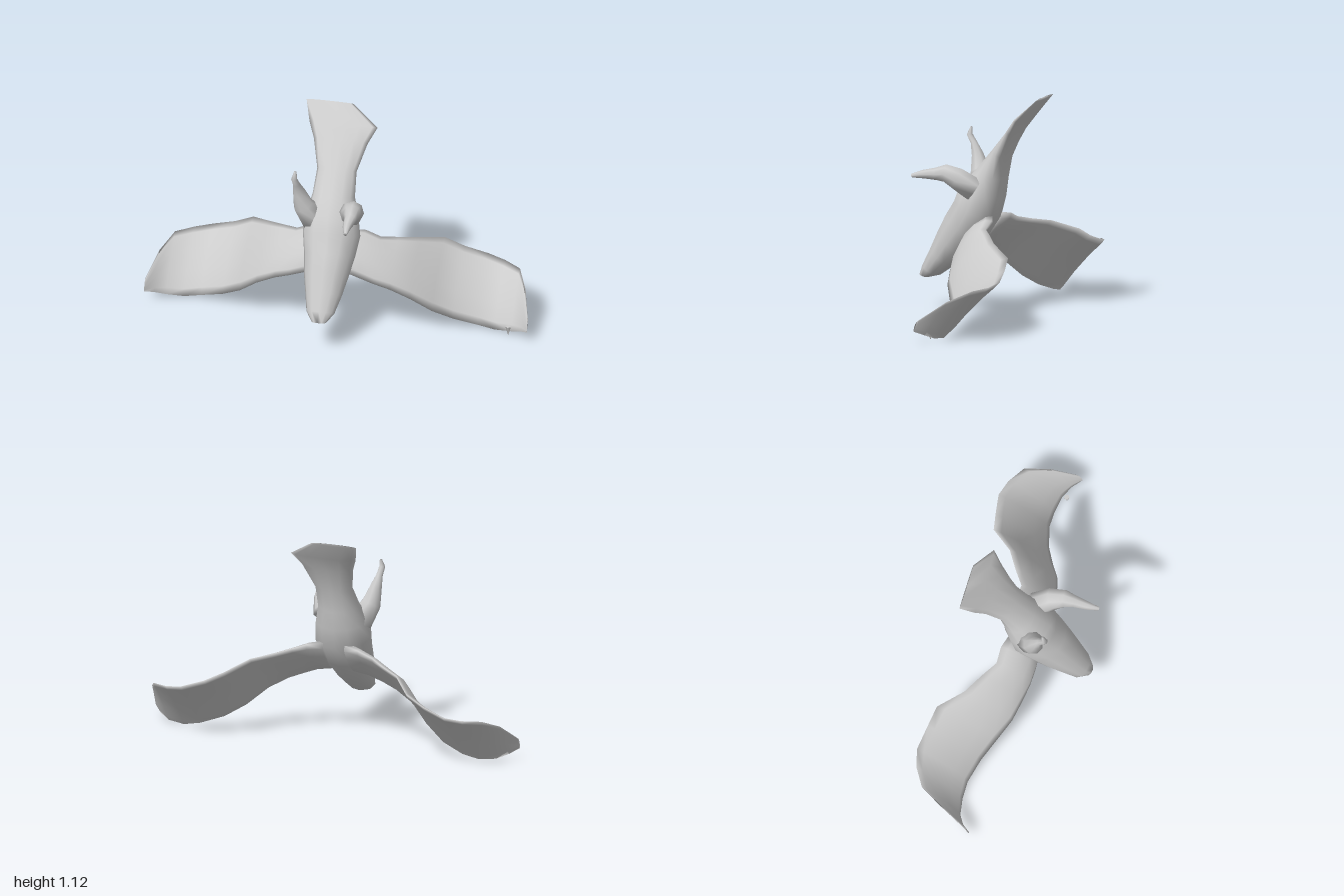
import * as THREE from 'three';

const material = new THREE.MeshStandardMaterial({ color: 0xcccccc, side: THREE.DoubleSide });
const V = (x, y, z) => new THREE.Vector3(x, y, z);

// Skin a list of equal-length rings and close both ends, facing outwards.
function loft(name, rings) {
  const n = rings[0].length, pts = rings.flat(), idx = [];
  for (let i = 0; i < rings.length - 1; i++) {
    for (let j = 0; j < n; j++) {
      const a = i * n + j, b = i * n + (j + 1) % n;
      idx.push(a, b, a + n, b, b + n, a + n);
    }
  }
  const last = (rings.length - 1) * n;
  for (let j = 1; j < n - 1; j++) {
    idx.push(0, j + 1, j, last, last + j, last + j + 1);
  }
  let volume = 0;
  for (let i = 0; i < idx.length; i += 3) {
    volume += pts[idx[i]].dot(pts[idx[i + 1]].clone().cross(pts[idx[i + 2]]));
  }
  if (volume < 0) idx.reverse();
  const g = new THREE.BufferGeometry().setFromPoints(pts);
  g.setIndex(idx);
  g.computeVertexNormals();
  const mesh = new THREE.Mesh(g, material);
  mesh.name = name;
  return mesh;
}

// Body ring: belly point (z, y), back point (z, y), right and left extents in x.
function bodyRing([fz, fy, bz, by, x0, x1]) {
  const ring = [];
  for (let j = 0; j < 12; j++) {
    const a = j / 12 * Math.PI * 2, c = Math.cos(a) / 2, s = Math.sin(a) / 2;
    ring.push(V((x0 + x1) / 2 + s * (x1 - x0),
      (fy + by) / 2 + c * (fy - by), (fz + bz) / 2 + c * (fz - bz)));
  }
  return ring;
}

// Wing section: x, leading edge (y, z), trailing edge (y, z), thickness.
function wingRing([x, fy, fz, by, bz, t], side) {
  const chord = V(0, by - fy, bz - fz), n = V(0, -chord.z, chord.y).normalize();
  const camber = chord.length() * 0.05;
  const ring = [];
  for (let j = 0; j < 10; j++) {
    const a = j / 10 * Math.PI * 2, u = (1 - Math.cos(a)) / 2;
    const lift = Math.sin(a) * t / 2 + (4 * u * (1 - u) - 0.5) * camber;
    ring.push(V(side * x, fy, fz).addScaledVector(chord, u).addScaledVector(n, lift));
  }
  return ring;
}

// Leg: round rings [x, y, z, radius] set square to the path.
function leg(name, stations) {
  const centres = stations.map(s => V(s[0], s[1], s[2]));
  return loft(name, stations.map((s, i) => {
    const dir = centres[Math.min(i + 1, centres.length - 1)].clone()
      .sub(centres[Math.max(i - 1, 0)]).normalize();
    const u = V(1, 0, 0).addScaledVector(dir, -dir.x).normalize(), w = dir.clone().cross(u);
    return Array.from({ length: 8 }, (_, j) => {
      const a = j / 8 * Math.PI * 2;
      return centres[i].clone().addScaledVector(u, Math.cos(a) * s[3])
        .addScaledVector(w, Math.sin(a) * s[3]);
    });
  }));
}

export function createModel() {
  const bird = new THREE.Group();
  bird.name = 'bird';

  // Head, body and fanned tail in one skin
  bird.add(loft('bodyAndTail', [
    [0.36, 0.185, 0.31, 0.17, -0.05, 0.025],
    [0.34, 0.24, 0.25, 0.185, -0.085, 0.06],
    [0.295, 0.33, 0.17, 0.24, -0.105, 0.085],
    [0.25, 0.43, 0.10, 0.29, -0.125, 0.105],
    [0.21, 0.51, 0.0, 0.38, -0.14, 0.125],
    [0.16, 0.59, -0.07, 0.49, -0.16, 0.14],
    [0.135, 0.66, -0.10, 0.60, -0.15, 0.125],
    [0.05, 0.745, -0.112, 0.70, -0.125, 0.095],
    [-0.05, 0.86, -0.13, 0.81, -0.115, 0.09],
    [-0.155, 0.98, -0.18, 0.94, -0.15, 0.13],
    [-0.21, 1.04, -0.23, 1.02, -0.185, 0.17],
    [-0.285, 1.122, -0.29, 1.112, -0.215, 0.03]
  ].map(bodyRing)));

  // Drooping wings with tips curling forward
  const wing = [
    [0.06, 0.35, 0.09, 0.52, -0.06, 0.09],
    [0.14, 0.33, 0.10, 0.51, -0.085, 0.07],
    [0.22, 0.30, 0.095, 0.48, -0.085, 0.055],
    [0.30, 0.27, 0.08, 0.46, -0.14, 0.045],
    [0.40, 0.215, 0.055, 0.44, -0.20, 0.04],
    [0.50, 0.13, 0.0, 0.39, -0.315, 0.035],
    [0.60, 0.07, -0.05, 0.34, -0.335, 0.03],
    [0.72, 0.03, -0.085, 0.30, -0.355, 0.025],
    [0.81, 0.012, -0.085, 0.285, -0.33, 0.02],
    [0.90, 0.02, -0.07, 0.275, -0.275, 0.02],
    [0.955, 0.04, -0.04, 0.22, -0.16, 0.015],
    [0.998, 0.06, 0.0, 0.12, -0.025, 0.012]
  ];
  for (const side of [-1, 1]) {
    bird.add(loft(side > 0 ? 'leftWing' : 'rightWing', wing.map(s => wingRing(s, side))));
  }

  // Small loose feather below the left wing tip
  const feather = new THREE.Mesh(new THREE.ConeGeometry(0.015, 0.05, 5), material);
  feather.name = 'looseFeather';
  feather.rotation.z = Math.PI;
  feather.position.set(0.89, 0.03, -0.05);
  bird.add(feather);

  // Left leg reaches forward, right leg is raised
  bird.add(leg('leftLeg', [
    [0.08, 0.65, 0.03, 0.065], [0.115, 0.71, 0.11, 0.058], [0.125, 0.735, 0.17, 0.046],
    [0.127, 0.728, 0.22, 0.032], [0.125, 0.722, 0.29, 0.022], [0.13, 0.712, 0.35, 0.01]
  ]));
  bird.add(leg('rightLeg', [
    [-0.10, 0.62, 0.05, 0.07], [-0.15, 0.71, 0.085, 0.052], [-0.165, 0.79, 0.105, 0.033],
    [-0.175, 0.85, 0.13, 0.018], [-0.18, 0.89, 0.155, 0.016], [-0.177, 0.93, 0.143, 0.006]
  ]));
  return bird;
}
